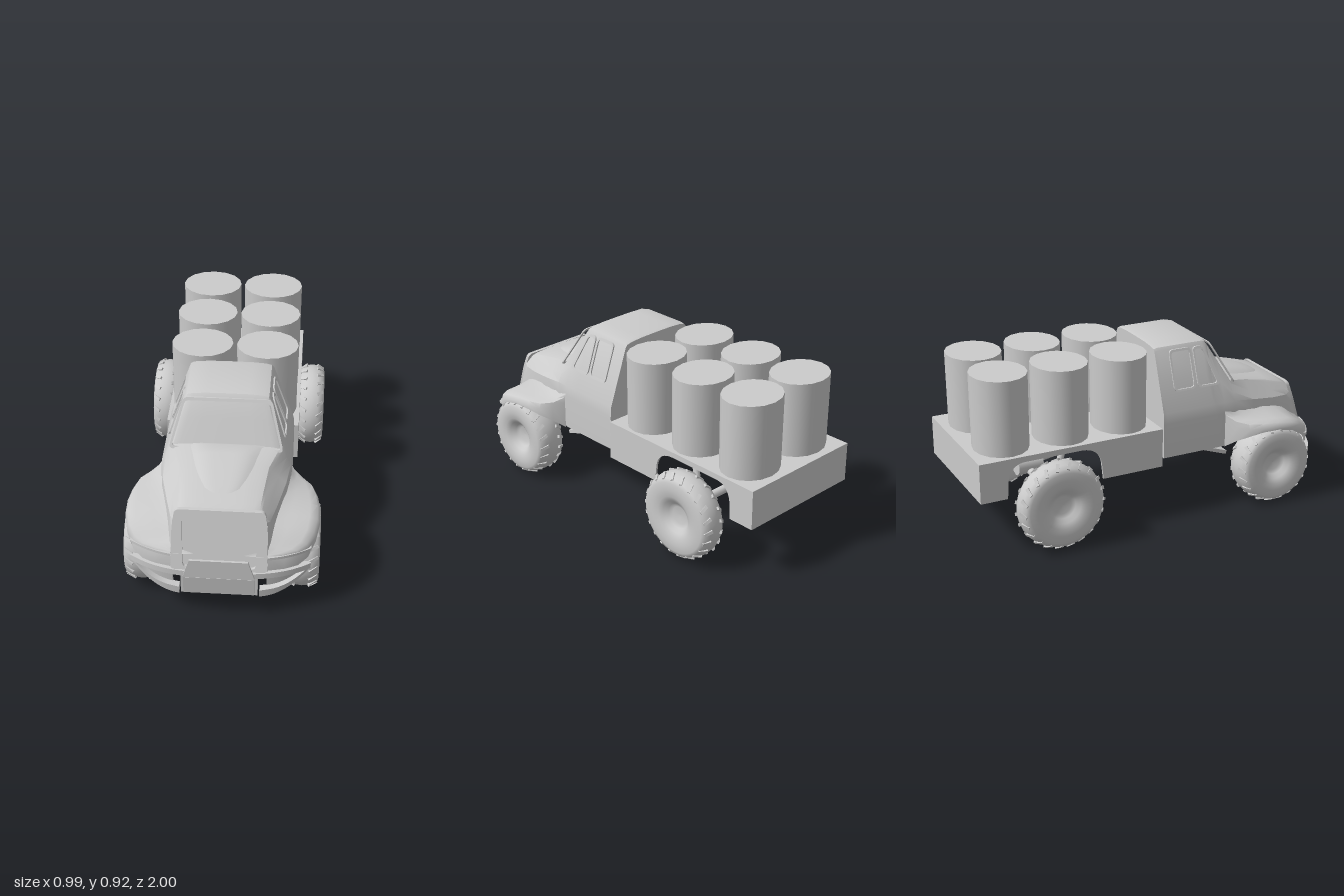
import * as THREE from 'three';
import { mergeGeometries, toCreasedNormals } from 'three/addons/utils/BufferGeometryUtils.js';

const mat = new THREE.MeshStandardMaterial({ color: 0xcccccc, side: THREE.DoubleSide });

function add(parent, name, geo, x = 0, y = 0, z = 0) {
  const m = new THREE.Mesh(geo, mat);
  m.name = name;
  m.position.set(x, y, z);
  parent.add(m);
  return m;
}

// Move every vertex by a rule, then rebuild the normals
function reshape(geo, rule, crease = 0.6) {
  const p = geo.attributes.position;
  for (let i = 0; i < p.count; i++) p.setXYZ(i, ...rule(p.getX(i), p.getY(i), p.getZ(i)));
  geo.computeVertexNormals();
  return toCreasedNormals(geo, crease);
}

// Skin a list of equally long cross-sections, optionally capping both ends
function loft(sections, caps = false, crease = 0.6) {
  const n = sections[0].length, index = [];
  for (let s = 0; s < sections.length - 1; s++) {
    for (let i = 0; i < n - 1; i++) {
      const a = s * n + i, b = a + n;
      index.push(a, b, a + 1, b, b + 1, a + 1);
    }
  }
  if (caps) {
    const e = (sections.length - 1) * n, c = (n - 1) / 2;
    for (let i = 0; i < n - 1; i++) {
      if (i === c || i + 1 === c) continue;
      index.push(c, i, i + 1, e + c, e + i + 1, e + i);
    }
    index.push(c, n - 1, 0, e + c, e, e + n - 1);
  }
  const g = new THREE.BufferGeometry();
  g.setAttribute('position', new THREE.Float32BufferAttribute(sections.flat(2), 3));
  g.setIndex(index);
  return toCreasedNormals(g, crease);
}

// Polygon with rounded corners
function rounded(points, r, target = new THREE.Shape()) {
  const v = points.map(p => new THREE.Vector2(...p));
  v.forEach((p, i) => {
    const toward = q => q.clone().sub(p).setLength(r).add(p);
    const a = toward(v[(i + v.length - 1) % v.length]), b = toward(v[(i + 1) % v.length]);
    if (i === 0) target.moveTo(a.x, a.y); else target.lineTo(a.x, a.y);
    target.quadraticCurveTo(p.x, p.y, b.x, b.y);
  });
  target.closePath();
  return target;
}

function frame(outer, inner, depth, rule) {
  const s = rounded(outer, 0.025);
  s.holes.push(rounded(inner, 0.02, new THREE.Path()));
  return reshape(new THREE.ExtrudeGeometry(s, { depth, bevelEnabled: false, curveSegments: 5 }), rule);
}

const trapezoid = (wb, yb, wt, yt) => [[-wb, yb], [wb, yb], [wt, yt], [-wt, yt]];

function rod(parent, name, a, b, r) {
  const A = new THREE.Vector3(...a), B = new THREE.Vector3(...b);
  const m = add(parent, name, new THREE.CylinderGeometry(r, r, A.distanceTo(B), 12));
  m.position.copy(A).add(B).multiplyScalar(0.5);
  m.quaternion.setFromUnitVectors(new THREE.Vector3(0, 1, 0), B.sub(A).normalize());
}

// Chunky tyre with dished hub; its axis lies along x
function wheelGeometry() {
  const side = [[0.001, 0.03], [0.045, 0.032], [0.065, 0.045], [0.085, 0.068], [0.11, 0.082], [0.145, 0.087],
    [0.182, 0.085], [0.201, 0.074], [0.213, 0.045]];
  const pts = side.map(([r, y]) => new THREE.Vector2(r, -y));
  pts.push(new THREE.Vector2(0.219, 0), ...side.slice().reverse().map(([r, y]) => new THREE.Vector2(r, y)));
  const tyre = new THREE.LatheGeometry(pts, 40).rotateZ(-Math.PI / 2);
  const parts = [tyre];
  for (let i = 0; i < 22; i++) {
    for (const s of [-1, 1]) {
      const lug = new THREE.BoxGeometry(0.05, 0.018, 0.016);
      lug.rotateY(s * 0.4).rotateZ(-s * 0.5).translate(s * 0.055, 0.205, 0);
      parts.push(lug.rotateX((i + (s > 0 ? 0.5 : 0)) * Math.PI / 11));
    }
  }
  return mergeGeometries(parts);
}

function buildCab(truck) {
  const cab = new THREE.Group();
  cab.name = 'cab';
  truck.add(cab);

  // z, top y, corner x, corner y, belt x, belt y, bottom x, bottom y, forward lean
  const stations = [
    [0.04, 0.915, 0.22, 0.89, 0.33, 0.58, 0.335, 0.33, 0],
    [0.06, 0.92, 0.22, 0.892, 0.33, 0.58, 0.335, 0.33, 0],
    [0.325, 0.92, 0.22, 0.892, 0.33, 0.58, 0.335, 0.33, 0],
    [0.345, 0.914, 0.218, 0.888, 0.33, 0.58, 0.335, 0.33, 0],
    [0.358, 0.9, 0.215, 0.876, 0.33, 0.58, 0.335, 0.33, 0],
    [0.41, 0.807, 0.245, 0.785, 0.33, 0.58, 0.335, 0.33, 0],
    [0.475, 0.69, 0.285, 0.665, 0.33, 0.58, 0.33, 0.38, 0],
    [0.6, 0.66, 0.235, 0.632, 0.312, 0.56, 0.32, 0.4, 0.03],
    [0.75, 0.625, 0.215, 0.6, 0.272, 0.53, 0.28, 0.38, 0.12],
    [0.84, 0.602, 0.205, 0.582, 0.245, 0.52, 0.25, 0.32, 0.26],
    [0.872, 0.585, 0.195, 0.568, 0.232, 0.53, 0.24, 0.28, 0.3]];
  const sections = stations.map(([z, t, cx, cy, bx, by, lx, ly, k]) => {
    const half = [[cx * 0.5, t - 0.001], [cx * 0.82, t - 0.006], [cx * 0.95, t - 0.013], [cx, cy],
      [(cx + bx) / 2, (cy + by) / 2], [bx, by], [bx + 0.005, by - 0.06], [lx, ly]];
    const left = half.map(([x, y]) => [x, y, z + k * (t - y)]);
    const right = left.map(([x, y, w]) => [-x, y, w]).reverse();
    return [...right, [0, t, z], ...left];
  });
  add(cab, 'cabBody', loft(sections, true, 0.45));
  add(cab, 'cabFloor', new THREE.BoxGeometry(0.64, 0.02, 0.42), 0, 0.345, 0.25);

  // Raised centre of the hood, narrowing forwards: z, base y, half width, rise
  const bulge = [[0.47, 0.693, 0.2, 0], [0.49, 0.687, 0.185, 0.016], [0.55, 0.672, 0.168, 0.019], [0.62, 0.655, 0.15, 0.018],
    [0.69, 0.638, 0.128, 0.014], [0.75, 0.624, 0.1, 0.008], [0.79, 0.613, 0.06, 0]];
  add(cab, 'hoodBulge', loft(bulge.map(([z, y, w, rise]) =>
    Array.from({ length: 13 }, (_, i) => i / 6 - 1).map(u => [u * w, y - 0.006 + (rise + 0.006) * (1 - u ** 4), z])), false, 0.9));

  add(cab, 'windshieldFrame', frame(trapezoid(0.292, 0.668, 0.225, 0.898), trapezoid(0.278, 0.678, 0.215, 0.884),
    0.008, (x, y, z) => [x, y, 0.477 - 0.558 * (y - 0.69) + z]));
  add(cab, 'grilleFrame', frame([[-0.24, 0.285], [0.24, 0.285], [0.235, 0.5], [0.222, 0.588], [-0.222, 0.588], [-0.235, 0.5]],
    trapezoid(0.18, 0.3, 0.187, 0.56), 0.02, (x, y, z) => [x, y, 0.866 + 0.3 * (0.59 - y) + z]));

  // Side windows: quarter light and door glass surrounds
  const windows = [
    [[[0.40, 0.68], [0.262, 0.68], [0.262, 0.89], [0.325, 0.885]], [[0.382, 0.69], [0.272, 0.69], [0.272, 0.878], [0.317, 0.874]]],
    [[[0.25, 0.68], [0.12, 0.68], [0.12, 0.89], [0.25, 0.89]], [[0.24, 0.69], [0.13, 0.69], [0.13, 0.878], [0.24, 0.878]]]];
  for (const s of [-1, 1]) {
    for (const [outer, inner] of windows) {
      add(cab, 'sideWindowFrame', frame(outer, inner, 0.008,
        (a, b, c) => [s * (0.331 - 0.352 * (b - 0.58) + c), b, a]));
    }
    const sill = add(cab, 'underSill', new THREE.BoxGeometry(0.06, 0.02, 0.2), s * 0.25, 0.295, 0.365);
    sill.rotation.x = 0.34;
  }
}

function buildFront(truck) {
  // z, inner x, inner y, crown x, crown y, outer x, outer y, lip y
  const rows = [
    [0.41, 0.325, 0.57, 0.335, 0.53, 0.342, 0.48, 0.33],
    [0.45, 0.32, 0.55, 0.365, 0.5, 0.4, 0.455, 0.375],
    [0.5, 0.315, 0.535, 0.405, 0.49, 0.452, 0.45, 0.41],
    [0.57, 0.305, 0.52, 0.425, 0.485, 0.475, 0.45, 0.43],
    [0.66, 0.285, 0.51, 0.435, 0.482, 0.487, 0.45, 0.435],
    [0.75, 0.265, 0.49, 0.435, 0.47, 0.487, 0.435, 0.415],
    [0.82, 0.25, 0.465, 0.425, 0.445, 0.47, 0.4, 0.37],
    [0.87, 0.235, 0.43, 0.395, 0.405, 0.435, 0.37, 0.31],
    [0.905, 0.23, 0.405, 0.35, 0.385, 0.388, 0.365, 0.285],
    [0.935, 0.225, 0.39, 0.285, 0.375, 0.32, 0.36, 0.28],
    [0.955, 0.12, 0.37, 0.2, 0.365, 0.24, 0.355, 0.28]];
  const fender = loft(rows.map(([z, ix, iy, cx, cy, ox, oy, ly]) => [
    [ix, iy, z], [ix + (cx - ix) * 0.45, cy + (iy - cy) * 0.25, z], [cx, cy, z],
    [cx + (ox - cx) * 0.75, cy + (oy - cy) * 0.35, z], [ox, oy, z], [ox, ly, z]]), false, 0.8);

  const bow = x => 0.985 - 1.2 * Math.abs(x) ** 3;
  const lower = x => 0.118 + 0.13 * Math.max(0, (x - 0.2) / 0.24) ** 2;
  // Curved bumper piece between two heights given as functions of x
  const bumperPiece = (x0, x1, lo, hi, depth, back) => reshape(
    new THREE.BoxGeometry(1, 1, depth, 20, 2, 1), (u, v, w) => {
      const x = x0 + (u + 0.5) * (x1 - x0), y = lo(x) + (v + 0.5) * (hi(x) - lo(x));
      return [x, y, bow(x) - back + w - 0.12 * Math.max(0, 0.25 - y)];
    });

  add(truck, 'bumperBar', bumperPiece(-0.45, 0.45, () => 0.25, () => 0.282, 0.035, 0.01));
  for (const s of [-1, 1]) {
    const half = new THREE.Group();
    half.name = s > 0 ? 'leftFront' : 'rightFront';
    half.scale.x = s;
    truck.add(half);
    add(half, 'frontFender', fender);
    add(half, 'headlampBrow', bumperPiece(0.24, 0.45, () => 0.353, () => 0.367, 0.03, 0.022));
    add(half, 'bumperPocket', bumperPiece(0.235, 0.43, lower, () => 0.255, 0.02, 0.04));
    add(half, 'bumperLip', bumperPiece(0.2, 0.44, lower, x => lower(x) + 0.045 - 0.15 * Math.max(0, x - 0.24), 0.04, 0.015));
    add(half, 'bumperBracket', new THREE.BoxGeometry(0.016, 0.11, 0.05), 0.183, 0.185, 0.945);
  }

  // Skid plate in the middle of the bumper
  const plate = new THREE.Shape(trapezoid(0.178, 0.255, 0.145, 0.362).map(p => new THREE.Vector2(...p)));
  add(truck, 'guardPlate', new THREE.ExtrudeGeometry(plate, { depth: 0.012, bevelEnabled: false }), 0, 0, 0.988);
  const skid = add(truck, 'skidPlate', new THREE.BoxGeometry(0.352, 0.108, 0.03), 0, 0.2, 0.978);
  skid.rotation.x = 0.1;
}

function buildBed(truck) {
  const bed = new THREE.Group();
  bed.name = 'cargoBed';
  truck.add(bed);
  add(bed, 'bedFloor', new THREE.BoxGeometry(0.716, 0.015, 1.02), 0, 0.5025, -0.49);
  add(bed, 'tailPanel', new THREE.BoxGeometry(0.716, 0.21, 0.012), 0, 0.402, -0.994);
  add(bed, 'headPanel', new THREE.BoxGeometry(0.716, 0.21, 0.012), 0, 0.402, 0.014);

  // Side skirt with the wheel arch cut out of it
  const skirt = new THREE.Shape();
  skirt.moveTo(0.02, 0.297).lineTo(0.02, 0.51).lineTo(-1, 0.51).lineTo(-1, 0.297).lineTo(-0.855, 0.297);
  skirt.lineTo(-0.85, 0.39).bezierCurveTo(-0.84, 0.46, -0.8, 0.48, -0.75, 0.48);
  skirt.lineTo(-0.45, 0.48).bezierCurveTo(-0.39, 0.48, -0.345, 0.45, -0.335, 0.39).lineTo(-0.325, 0.297);
  const geo = new THREE.ExtrudeGeometry(skirt, { depth: 0.012, bevelEnabled: false }).rotateY(-Math.PI / 2);
  add(bed, 'rightSkirt', geo, -0.346, 0, 0);
  add(bed, 'leftSkirt', geo, 0.358, 0, 0);

  const barrel = new THREE.CylinderGeometry(0.165, 0.163, 0.4, 16);
  for (const z of [-0.15, -0.485, -0.815]) {
    for (const x of [-0.173, 0.177]) add(bed, 'barrel', barrel, x, 0.71, z).scale.z = 0.885;
  }
}

function buildChassis(truck) {
  add(truck, 'cabLink', new THREE.BoxGeometry(0.54, 0.14, 0.05), 0, 0.41, 0.03);
  add(truck, 'engineTray', new THREE.BoxGeometry(0.36, 0.02, 0.5), 0, 0.35, 0.68);
  for (const x of [-0.16, 0.16]) add(truck, 'chassisRail', new THREE.BoxGeometry(0.04, 0.06, 1.75), x, 0.43, -0.1);

  const wheel = wheelGeometry();
  for (const [name, z, y, x, sx, r] of [['front', 0.66, 0.226, 0.407, 1, 1], ['rear', -0.6, 0.245, 0.423, 0.83, 1.055]]) {
    for (const s of [-1, 1]) {
      add(truck, name + 'Wheel', wheel, s * x, y, z).scale.set(s * sx, r, r);
      rod(truck, name + 'Shock', [s * 0.28, y + 0.03, z + 0.03], [s * 0.25, 0.49, z + 0.1], 0.018);
    }
  }

  // Solid rear axle, independent front stubs
  rod(truck, 'rearAxle', [-0.42, 0.268, -0.6], [0.42, 0.268, -0.6], 0.022);
  rod(truck, 'rearDifferential', [0, 0.3, -0.67], [0, 0.3, -0.53], 0.055);
  rod(truck, 'driveShaft', [0, 0.31, -0.55], [0, 0.4, -0.05], 0.018);
  for (const s of [-1, 1]) rod(truck, 'frontStubAxle', [s * 0.4, 0.226, 0.66], [s * 0.24, 0.3, 0.66], 0.022);
}

export function createModel() {
  const truck = new THREE.Group();
  truck.name = 'truck';
  buildCab(truck);
  buildFront(truck);
  buildBed(truck);
  buildChassis(truck);
  return truck;
}
